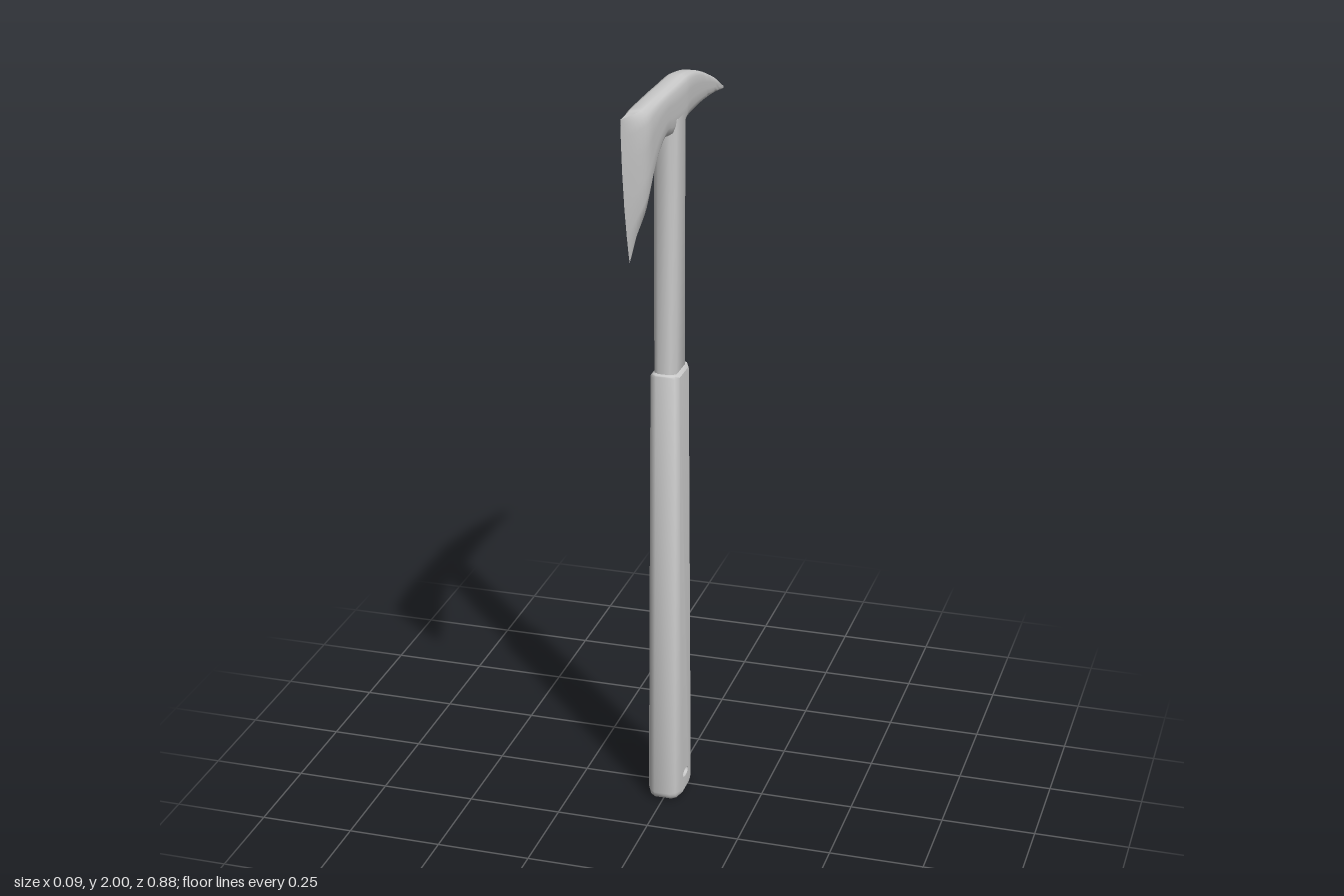
import * as THREE from 'three';
import { mergeGeometries, toCreasedNormals } from 'three/addons/utils/BufferGeometryUtils.js';

const material = new THREE.MeshStandardMaterial({ color: 0xcccccc });

// Skin a sequence of closed rings (equal point counts), optionally capping both ends.
function loft(rings, caps = false) {
  const n = rings[0].length, pos = [];
  const tri = (...pts) => pts.forEach(p => pos.push(p.x, p.y, p.z));
  for (let k = 0; k < rings.length - 1; k++) {
    for (let i = 0; i < n; i++) {
      const j = (i + 1) % n, a = rings[k], b = rings[k + 1];
      tri(a[i], a[j], b[j]);
      tri(a[i], b[j], b[i]);
    }
  }
  if (caps) {
    const first = rings[0], last = rings[rings.length - 1];
    for (let i = 1; i < n - 1; i++) {
      tri(first[0], first[i + 1], first[i]);
      tri(last[0], last[i], last[i + 1]);
    }
  }
  const g = new THREE.BufferGeometry();
  g.setAttribute('position', new THREE.Float32BufferAttribute(pos, 3));
  return g;
}

function part(name, geometry, crease) {
  const mesh = new THREE.Mesh(toCreasedNormals(geometry, crease), material);
  mesh.name = name;
  return mesh;
}

// Flat face without its unused attributes, facing +z or -z.
function face(shape, z, flip) {
  const g = new THREE.ShapeGeometry(shape).toNonIndexed();
  g.deleteAttribute('normal');
  g.deleteAttribute('uv');
  if (flip) {
    const p = g.attributes.position;
    for (let i = 0; i < p.count; i += 3) {
      const x = p.getX(i), y = p.getY(i);
      p.setXY(i, p.getX(i + 1), p.getY(i + 1));
      p.setXY(i + 1, x, y);
    }
  }
  return g.translate(0, 0, z);
}

const CENTRE = -0.036;

// Side outline of the grip, rounded at the bottom and slightly at the top.
function gripOutline(inset, bottom, top) {
  const pts = [], h = 0.075 - inset;
  const corner = (sx, y, r, start) => {
    for (let i = 0; i <= 4; i++) {
      const a = start + (i / 4) * Math.PI / 2;
      pts.push(new THREE.Vector2(CENTRE + sx * (h - r) + r * Math.cos(a), y + r * Math.sin(a)));
    }
  };
  corner(-1, bottom + 0.022, 0.022, Math.PI);
  corner(1, bottom + 0.022, 0.022, Math.PI * 1.5);
  corner(1, top - 0.006, 0.006, 0);
  corner(-1, top - 0.006, 0.006, Math.PI / 2);
  return pts;
}

// Chamfered, tapering grip with a lanyard hole through it.
function grip() {
  const outer = gripOutline(0, 0.006, 1.237), inner = gripOutline(0.025, 0.016, 1.228);
  const middle = gripOutline(0.008, 0.008, 1.235);
  const at = (pts, z) => pts.map(p => new THREE.Vector3(p.x, p.y, z));
  const hole = new THREE.Path().absellipse(CENTRE - 0.002, 0.063, 0.024, 0.011, 0, Math.PI * 2, true);
  const shape = new THREE.Shape(inner);
  shape.holes.push(hole);
  const w = 0.045;
  const holePts = hole.getPoints(12).slice(0, -1);
  const g = mergeGeometries([
    loft([at(inner, -w), at(middle, -0.035), at(outer, -0.022),
      at(outer, 0.022), at(middle, 0.035), at(inner, w)]),
    loft([at(holePts, -w), at(holePts, w)]),
    face(shape, w, false),
    face(shape, -w, true),
  ]);
  const p = g.attributes.position;
  for (let i = 0; i < p.count; i++) {
    const k = 1 - 0.14 * p.getY(i) / 1.235;
    p.setX(i, CENTRE + (p.getX(i) - CENTRE) * k);
    p.setY(i, Math.max(0, p.getY(i) - 0.006));
    p.setZ(i, p.getZ(i) * k);
  }
  return part('grip', g, 0.7);
}

// Octagonal metal shaft between grip and head.
function shaft() {
  const h = 0.053, w = 0.0295, c = 0.014;
  const section = [[h, w - c], [h, c - w], [h - c, -w], [c - h, -w], [-h, c - w], [-h, w - c], [c - h, w], [h - c, w]];
  const ring = y => section.map(([x, z]) => new THREE.Vector3(CENTRE + x, y, z));
  return part('shaft', loft([ring(1.15), ring(1.9)], true), 0.9);
}

// Axe blade flowing into a curved pick, lofted from the cutting edge to the pick tip.
function head() {
  // top x, top y, bottom x, bottom y, half thickness, forward bulge
  const stations = [
    [-0.44, 2.0, -0.375, 1.625, 0.0005, -0.013],
    [-0.385, 1.994, -0.348, 1.667, 0.014, -0.011],
    [-0.315, 1.99, -0.307, 1.73, 0.031, -0.006],
    [-0.26, 1.99, -0.243, 1.81, 0.031, 0],
    [-0.2, 1.99, -0.19, 1.852, 0.03, 0],
    [-0.14, 1.99, -0.14, 1.872, 0.03, 0],
    [-0.09, 1.99, -0.09, 1.862, 0.03, 0],
    [0.018, 1.99, 0.018, 1.862, 0.03, 0],
    [0.045, 1.988, 0.045, 1.871, 0.029, 0],
    [0.127, 1.974, 0.127, 1.872, 0.0245, 0],
    [0.233, 1.942, 0.233, 1.868, 0.019, 0],
    [0.34, 1.9, 0.34, 1.859, 0.0145, 0],
    [0.435, 1.853, 0.435, 1.845, 0.009, 0],
  ];
  const top = new THREE.CatmullRomCurve3(stations.map(s => new THREE.Vector3(s[0], s[1], s[4])));
  const bottom = new THREE.CatmullRomCurve3(stations.map(s => new THREE.Vector3(s[2], s[3], s[5])));
  // position down the section and its share of the half thickness
  const profile = [[0, 0.45], [0.04, 0.8], [0.13, 1], [0.35, 1], [0.6, 1], [0.8, 0.95], [0.94, 0.75], [1, 0.35]];
  const steps = (stations.length - 1) * 4, rings = [];
  for (let k = 0; k <= steps; k++) {
    const a = top.getPoint(k / steps), b = bottom.getPoint(k / steps);
    const side = profile.map(([t, f]) => new THREE.Vector3(
      a.x + (b.x - a.x) * t + b.z * 4 * t * (1 - t), a.y + (b.y - a.y) * t, a.z * f));
    const mirrored = side.map(p => new THREE.Vector3(p.x, p.y, -p.z)).reverse();
    rings.push([...side, ...mirrored]);
  }
  return part('axeAndPickHead', loft(rings, true), 0.8);
}

export function createModel() {
  const tool = new THREE.Group();
  tool.name = 'pickAxeTool';
  tool.add(grip(), shaft(), head());
  // parts are drawn in side profile, then turned so the blade faces +z
  tool.rotation.y = Math.PI / 2;
  const model = new THREE.Group();
  model.add(tool);
  return model;
}
